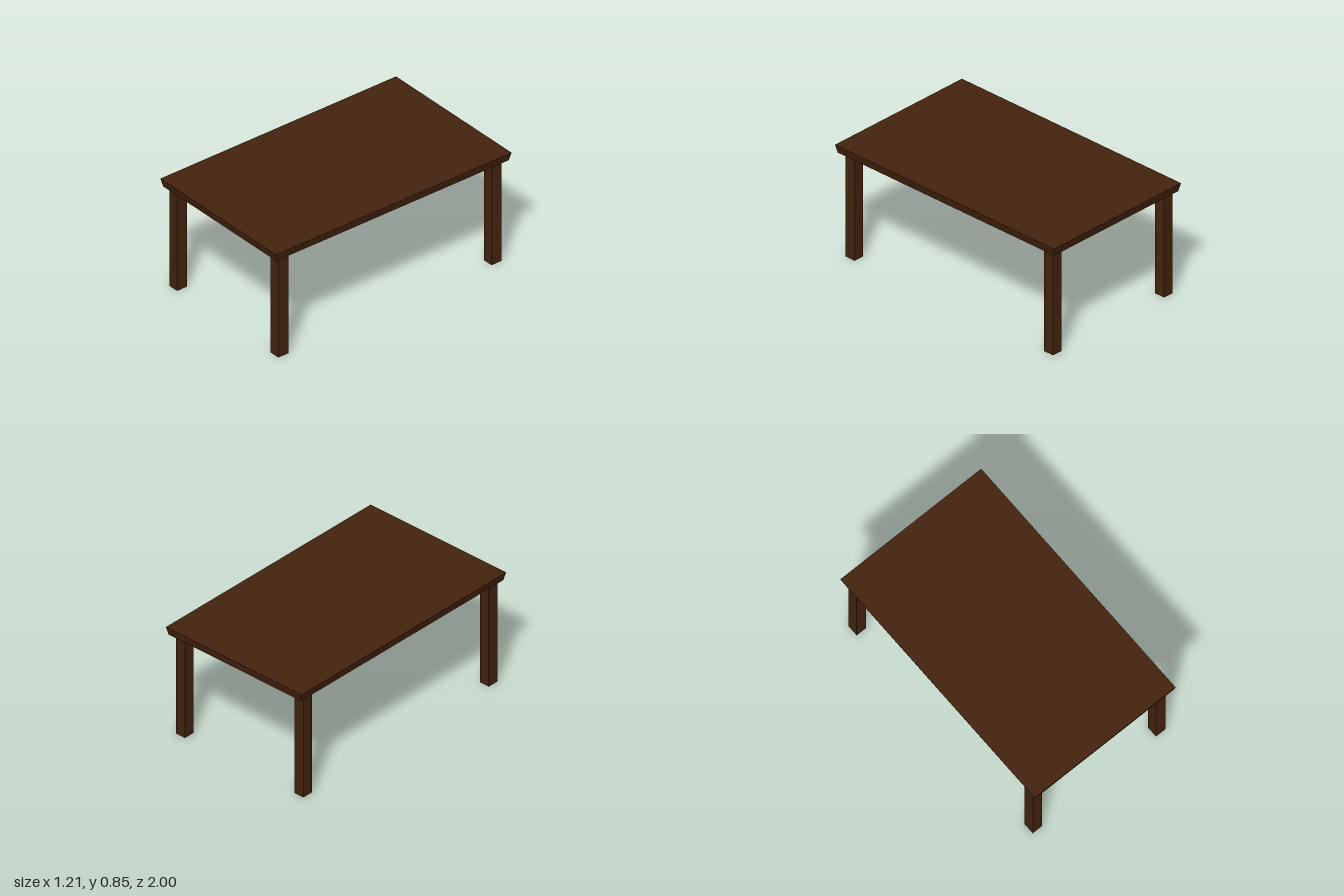
import * as THREE from 'three';

export function createModel() {
  const model = new THREE.Group();
  model.name = 'table';
  const darkWood = new THREE.MeshStandardMaterial({ color: 0x44230e });
  darkWood.name = 'darkWood';

  // Tabletop: a slab whose edges slope inwards towards the underside
  const height = 0.845, thickness = 0.06, inset = 0.013;
  const slab = new THREE.BoxGeometry(1.21, thickness, 2).toNonIndexed();
  const p = slab.attributes.position;
  for (let i = 0; i < p.count; i++) {
    if (p.getY(i) < 0) {
      p.setX(i, p.getX(i) - Math.sign(p.getX(i)) * inset);
      p.setZ(i, p.getZ(i) - Math.sign(p.getZ(i)) * inset);
    }
  }
  slab.computeVertexNormals();
  const top = new THREE.Mesh(slab, darkWood);
  top.name = 'tabletop';
  top.position.y = height - thickness / 2;
  model.add(top);

  // Four square legs, set slightly off centre
  const legHeight = height - thickness;
  const legGeometry = new THREE.BoxGeometry(0.08, legHeight, 0.084);
  for (const [side, x] of [['Left', 0.522], ['Right', -0.537]]) {
    for (const [end, z] of [['front', 0.903], ['back', -0.907]]) {
      const leg = new THREE.Mesh(legGeometry, darkWood);
      leg.name = `${end}${side}Leg`;
      leg.position.set(x, legHeight / 2, z);
      model.add(leg);
    }
  }
  return model;
}
